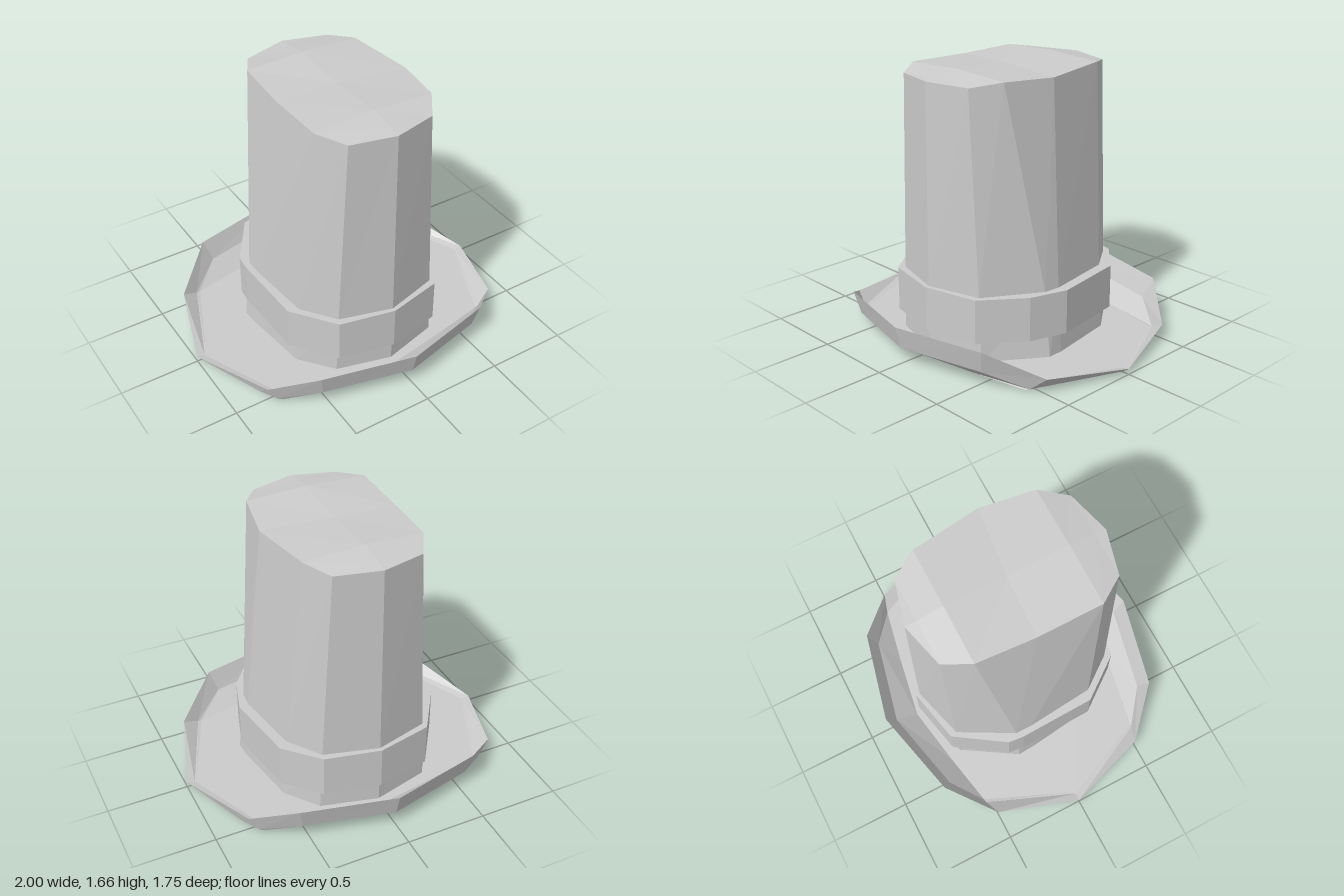
import * as THREE from 'three';

const material = new THREE.MeshStandardMaterial({ color: 0xcccccc, flatShading: true });

// Skins closed rings of [x, y, z] points; counter-clockwise rings from bottom to top face outward.
function loft(name, rings) {
  const pos = [];
  const tri = (...p) => {
    const [a, b, c] = p.map((q) => new THREE.Vector3(...q));
    if (b.clone().sub(a).cross(c.clone().sub(a)).length() > 1e-6) pos.push(...p.flat());
  };
  for (let r = 0; r < rings.length - 1; r++) {
    const a = rings[r], b = rings[r + 1], n = a.length;
    for (let i = 0; i < n; i++) {
      const j = (i + 1) % n;
      tri(a[i], a[j], b[j]);
      tri(a[i], b[j], b[i]);
    }
  }
  const geometry = new THREE.BufferGeometry();
  geometry.setAttribute('position', new THREE.Float32BufferAttribute(pos, 3));
  geometry.computeVertexNormals();
  const mesh = new THREE.Mesh(geometry, material);
  mesh.name = name;
  return mesh;
}

// Flat ring at height y from an [x, z] outline
const level = (outline, y, s = 1) => outline.map(([x, z]) => [x * s, y, z * s]);

// Mirrors a quarter (front to side, four points) into a full ring of twelve
function fourWay(q) {
  const half = [...q, ...q.slice(0, 3).reverse().map(([x, y, z]) => [x, y, -z])];
  return [...half, ...half.slice(1, 6).reverse().map(([x, y, z]) => [-x, y, z])];
}

// Slightly skewed outline of the crown just above the band
const crownBase = [
  [0, 0.62], [0.33, 0.53], [0.53, 0.2], [0.54, 0.1], [0.47, -0.33], [0.33, -0.53],
  [0, -0.62], [-0.33, -0.53], [-0.51, -0.2], [-0.51, -0.1], [-0.47, 0.33], [-0.32, 0.53],
];

function makeCrown() {
  const top = [
    [0, 1.625, 0.61], [0.27, 1.62, 0.54], [0.38, 1.645, 0.38], [0.435, 1.63, 0.05],
    [0.37, 1.645, -0.38], [0.27, 1.62, -0.54], [0, 1.625, -0.61], [-0.27, 1.62, -0.54],
    [-0.36, 1.645, -0.38], [-0.38, 1.635, -0.02], [-0.38, 1.645, 0.38], [-0.27, 1.62, 0.54],
  ];
  // The roof dips to a shallow saddle along its centre line
  const spineY = [1.625, 1.633, 1.66, 1.64, 1.66, 1.633, 1.625];
  const spine = top.map(([, , z], i) => [0, spineY[i > 6 ? 12 - i : i], i % 6 === 3 ? 0 : z]);
  // Walls carry their taper on down to the brim
  const foot = crownBase.map(([x, z], i) => [x + (x - top[i][0]) * 0.3, 0.015, z]);
  return loft('crown', [foot, level(crownBase, 0.42), top, spine]);
}

function makeBand() {
  const outline = [
    [0, 0.645], [0.34, 0.57], [0.53, 0.32], [0.6, 0.09], [0.53, -0.37], [0.34, -0.57],
    [0, -0.645], [-0.34, -0.57], [-0.54, -0.27], [-0.55, -0.17], [-0.535, 0.31], [-0.34, 0.57],
  ];
  return loft('band', [
    level(outline, 0.15, 0.85), level(outline, 0.15), level(outline, 0.42), level(outline, 0.42, 0.85),
  ]);
}

// Brim with front and back curled up, and a shallow head recess beneath
function makeBrim() {
  return loft('brim', [
    level(crownBase, 0.14, 0),
    level(crownBase, 0.14, 0.83),
    level(crownBase, 0, 0.83),
    fourWay([[0, 0, 0.68], [0.38, 0, 0.615], [0.72, 0, 0.55], [0.95, 0, 0]]),
    fourWay([[0, 0.1, 0.84], [0.54, 0.1, 0.71], [0.745, 0.01, 0.54], [0.96, 0.005, 0]]),
    fourWay([[0, 0.24, 0.875], [0.57, 0.24, 0.74], [0.84, 0.09, 0.5], [1, 0.035, 0]]),
    fourWay([[0, 0.115, 0.81], [0.53, 0.115, 0.69], [0.735, 0.03, 0.535], [0.95, 0.025, 0]]),
    fourWay([[0, 0.025, 0.67], [0.38, 0.025, 0.605], [0.71, 0.025, 0.54], [0.94, 0.025, 0]]),
    level(crownBase, 0.025, 0.9),
  ]);
}

export function createModel() {
  const hat = new THREE.Group();
  hat.name = 'topHat';
  hat.add(makeBrim(), makeBand(), makeCrown());
  return hat;
}
